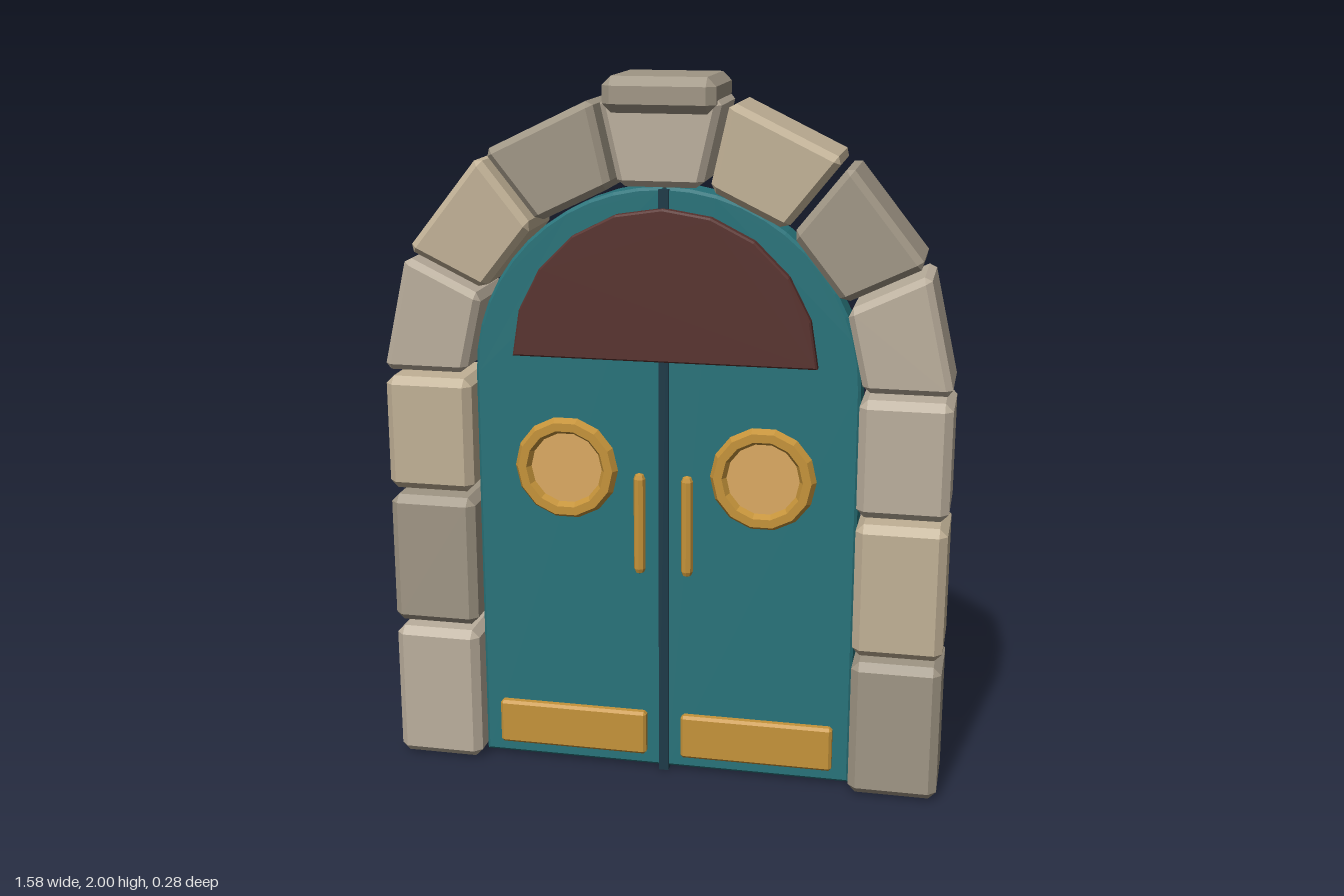
import * as THREE from 'three';
import { ConvexGeometry } from 'three/addons/geometries/ConvexGeometry.js';

const mat = (color) => new THREE.MeshStandardMaterial({ color, flatShading: true });
const STONES = [0xbbaf9d, 0xc1b196, 0xa09685].map(mat);
const TEAL = mat(0x28737a), SEAM = mat(0x1d3a48), GOLD = mat(0xc5933a);
const GLASS = mat(0xdcaa62), FAN = mat(0x58322e);

const SPRING = 1.17; // height where the arch starts

function add(parent, name, geometry, material, x = 0, y = 0, z = 0) {
  const mesh = new THREE.Mesh(geometry, material);
  mesh.name = name;
  mesh.position.set(x, y, z);
  parent.add(mesh);
  return mesh;
}

// Chamfered prism: a convex four-sided outline [x, y] between z0 and z1,
// with every edge cut back by c.
function chamferedPrism(outline, z0, z1, c) {
  const points = [];
  const at = (i, z) => new THREE.Vector3(...outline[(i + 4) % 4], z);
  for (let i = 0; i < 4; i++) {
    for (const [z, other] of [[z0, z1], [z1, z0]]) {
      const corner = at(i, z);
      const steps = [at(i - 1, z), at(i + 1, z), at(i, other)]
        .map((p) => p.sub(corner).setLength(c));
      for (let k = 0; k < 3; k++) {
        points.push(corner.clone().add(steps[k]).add(steps[(k + 1) % 3]));
      }
    }
  }
  return new ConvexGeometry(points);
}

const box = (x0, x1, y0, y1, z0, z1, c) =>
  chamferedPrism([[x0, y0], [x1, y0], [x1, y1], [x0, y1]], z0, z1, c);

// Outline extruded from z0 to z1 with a small bevel inside its size
function slab(points, z0, z1, bevel) {
  const shape = new THREE.Shape(points);
  const geometry = new THREE.ExtrudeGeometry(shape, {
    depth: z1 - z0 - 2 * bevel, bevelThickness: bevel, bevelSize: bevel,
    bevelOffset: -bevel, bevelSegments: 1,
  });
  return geometry.translate(0, 0, z0 + bevel);
}

// Points on an elliptical arc
function arc(rx, ry, cy, from, to, n) {
  return Array.from({ length: n + 1 }, (_, i) => {
    const a = from + ((to - from) * i) / n;
    return new THREE.Vector2(rx * Math.cos(a), cy + ry * Math.sin(a));
  });
}

function createStonework() {
  const group = new THREE.Group();
  group.name = 'stoneSurround';
  const zBack = -0.133, zFront = 0.113, c = 0.022;

  // Side pillars of three blocks each
  const courses = [[0.005, 0.405], [0.425, 0.81], [0.83, 1.16]];
  const tones = { 1: [2, 1, 0], '-1': [0, 2, 1] };
  for (const s of [1, -1]) {
    courses.forEach(([y0, y1], i) => {
      add(group, s > 0 ? 'leftPillarBlock' : 'rightPillarBlock',
        box(Math.min(s * 0.542, s * 0.792), Math.max(s * 0.542, s * 0.792), y0, y1, zBack, zFront, c),
        STONES[tones[s][i]]);
    });
  }

  // Seven wedge stones around the half circle, with even joints
  const count = 7, inner = 0.553, outer = 0.792, joint = 0.01;
  const archTones = [0, 2, 1, 0, 2, 1, 0];
  for (let i = 0; i < count; i++) {
    const a0 = (Math.PI * i) / count, a1 = (Math.PI * (i + 1)) / count;
    const polar = (r, a, side) => {
      const t = a + (side * joint) / r;
      return [r * Math.cos(t), SPRING + r * Math.sin(t)];
    };
    const outline = [polar(inner, a0, 1), polar(outer, a0, 1), polar(outer, a1, -1), polar(inner, a1, -1)];
    add(group, i === 3 ? 'keystone' : 'archStone',
      chamferedPrism(outline, zBack, zFront, 0.018), STONES[archTones[i]]);
  }

  add(group, 'capstone', box(-0.152, 0.152, 1.905, 2, -0.143, 0.14, 0.024), STONES[2]);
  return group;
}

// One door leaf with its porthole, handle and kick plate; s = side
function createLeaf(s) {
  const leaf = new THREE.Group();
  leaf.name = s > 0 ? 'leftDoorLeaf' : 'rightDoorLeaf';
  const gap = 0.003;
  const outline = [
    new THREE.Vector2(gap, 0.008), new THREE.Vector2(0.541, 0.008),
    ...arc(0.541, 0.535, SPRING, 0, Math.PI / 2 - 0.006, 12),
  ].map((p) => new THREE.Vector2(s * p.x, p.y));
  add(leaf, 'doorPanel', slab(outline, -0.055, 0.048, 0.008), TEAL);

  add(leaf, 'portholeRing', new THREE.TorusGeometry(0.125, 0.024, 6, 14), GOLD, s * 0.28, 0.908, 0.055);
  const glass = new THREE.CylinderGeometry(0.112, 0.112, 0.02, 14).rotateX(Math.PI / 2);
  add(leaf, 'portholeGlass', glass, GLASS, s * 0.28, 0.908, 0.047);

  add(leaf, 'handle', new THREE.CapsuleGeometry(0.017, 0.265, 2, 8), GOLD, s * 0.068, 0.758, 0.062);
  add(leaf, 'kickPlate', box(-0.22, 0.22, 0.048, 0.18, 0.04, 0.072, 0.008), GOLD, s * 0.271);
  return leaf;
}

export function createModel() {
  const model = new THREE.Group();
  model.name = 'archedDoorway';
  model.add(createStonework(), createLeaf(1), createLeaf(-1));

  // Strip covering the seam between the leaves
  add(model, 'seamStrip', new THREE.BoxGeometry(0.028, 1.7, 0.06), SEAM, 0, 0.85, 0.03);

  // Half-round panel over both leaves
  add(model, 'fanlight', slab(arc(0.425, 0.42, 1.23, 0, Math.PI, 10), 0.035, 0.078, 0.005), FAN);
  return model;
}
